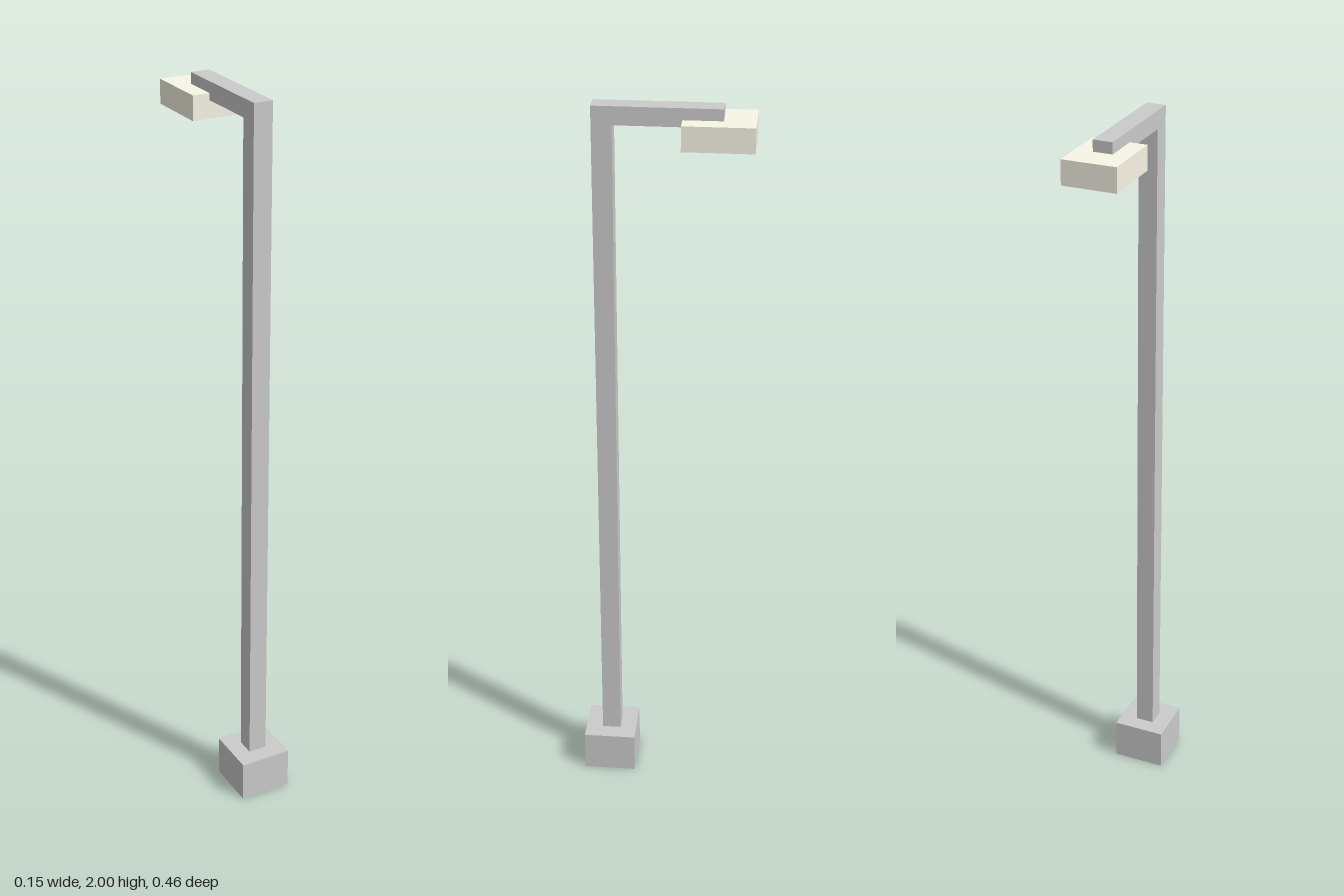
import * as THREE from 'three';

const metal = new THREE.MeshStandardMaterial({ color: 0xcccccc, flatShading: true });
const lampShade = new THREE.MeshStandardMaterial({ color: 0xf9f6e6, flatShading: true });

// Box given by its width, its y range and its z range, centred on x = 0
function box(name, width, [y0, y1], [z0, z1], material) {
  const mesh = new THREE.Mesh(new THREE.BoxGeometry(width, y1 - y0, z1 - z0), material);
  mesh.position.set(0, (y0 + y1) / 2, (z0 + z1) / 2);
  mesh.name = name;
  return mesh;
}

export function createModel() {
  const group = new THREE.Group();
  group.name = 'streetLamp';

  // Foot block and lamp head
  group.add(box('base', 0.146, [0, 0.116], [0.082, 0.228], metal));
  group.add(box('lampHead', 0.146, [1.905, 1.97], [-0.228, -0.046], lampShade));

  // Pole and arm in one L-shaped profile: (z, y) points, extruded across x
  const width = 0.052;
  const profile = new THREE.Shape(
    [[0.128, 0.1], [0.18, 0.1], [0.18, 2], [-0.147, 2], [-0.147, 1.952], [0.128, 1.952]]
      .map(([z, y]) => new THREE.Vector2(z, y))
  );
  const geometry = new THREE.ExtrudeGeometry(profile, { depth: width, bevelEnabled: false });
  geometry.translate(0, 0, -width / 2).rotateY(-Math.PI / 2);
  const pole = new THREE.Mesh(geometry, metal);
  pole.name = 'poleAndArm';
  group.add(pole);

  return group;
}
